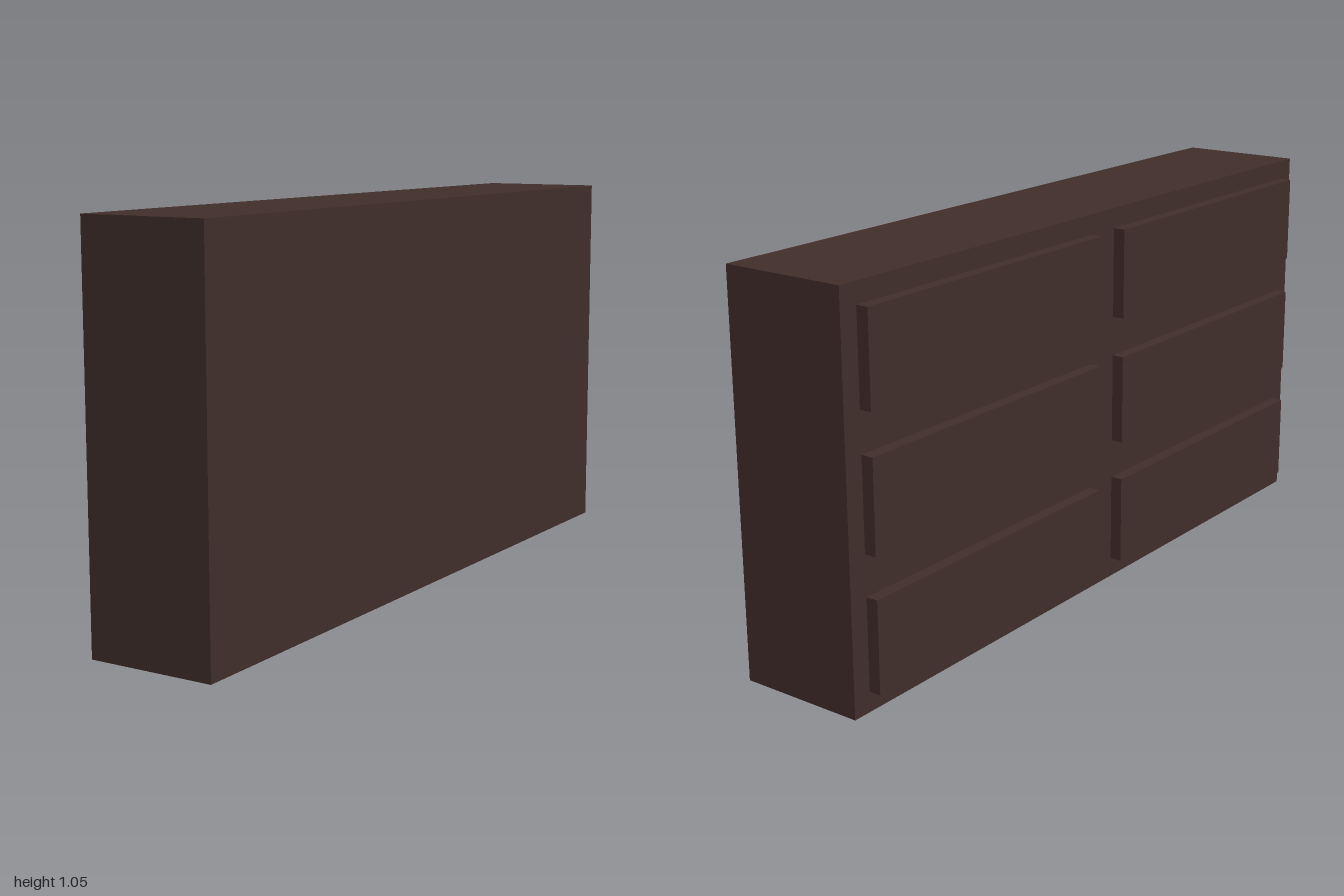
import * as THREE from 'three';

const wood = new THREE.MeshStandardMaterial({ color: 0x402d2a });

// Box given by its min and max corners
function block(name, [x0, y0, z0], [x1, y1, z1]) {
  const mesh = new THREE.Mesh(new THREE.BoxGeometry(x1 - x0, y1 - y0, z1 - z0), wood);
  mesh.name = name;
  mesh.position.set((x0 + x1) / 2, (y0 + y1) / 2, (z0 + z1) / 2);
  return mesh;
}

export function createModel() {
  const model = new THREE.Group();
  model.name = 'dresser';

  // Solid cabinet body
  const faceX = -0.158, height = 1.047;
  model.add(block('cabinet', [faceX, 0, -1], [0.191, height, 1]));

  // Drawer fronts: three rows, two columns on the -x face
  const drawers = new THREE.Group();
  drawers.name = 'drawers';
  const rowPitch = height / 3, margin = 0.053, drawerHeight = 0.242;
  for (let row = 0; row < 3; row++) {
    const y = row * rowPitch + margin;
    for (const z of [-0.947, 0.053]) {
      drawers.add(block('drawerFront', [-0.191, y, z], [faceX, y + drawerHeight, z + 0.894]));
    }
  }
  model.add(drawers);
  return model;
}
